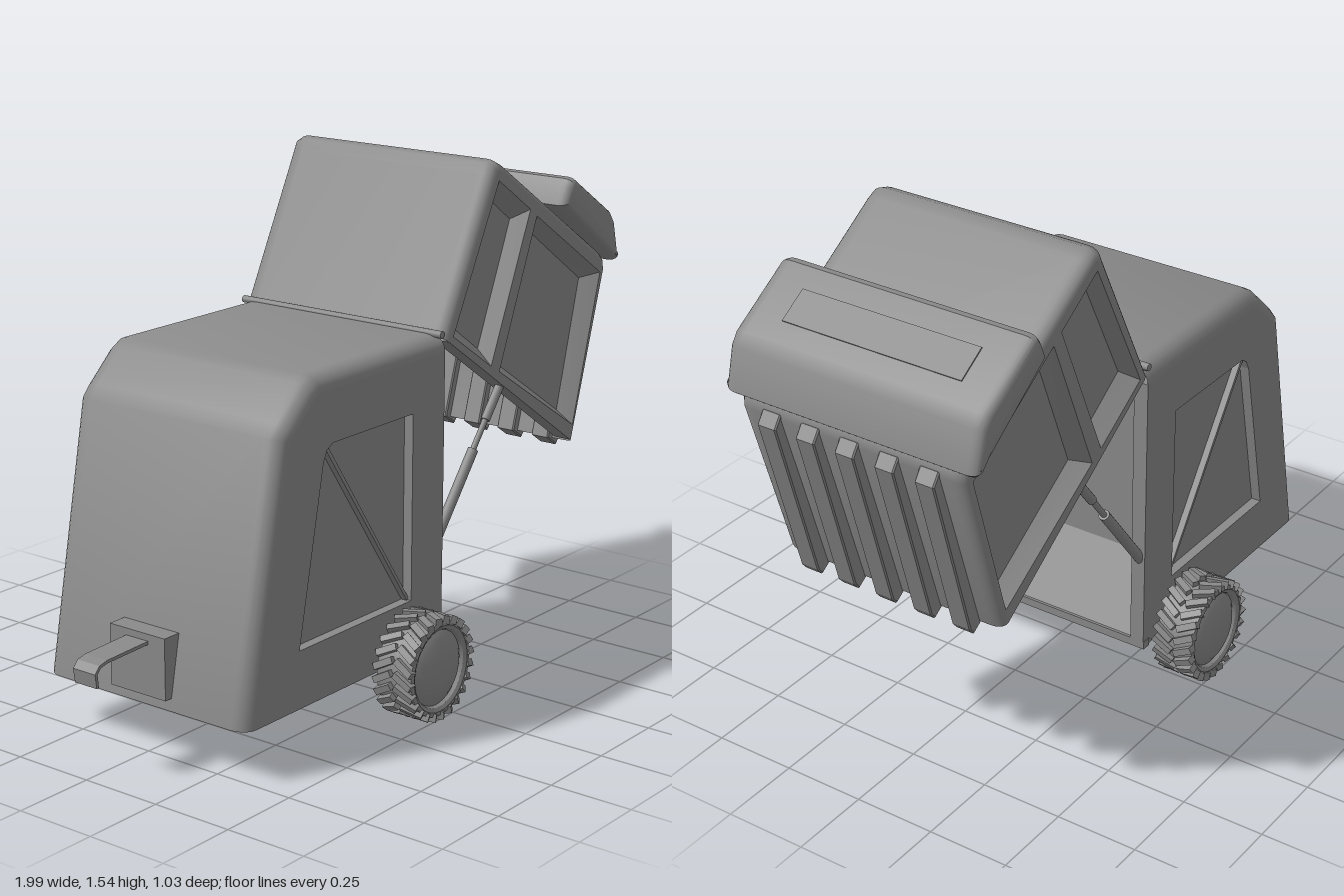
import * as THREE from 'three';
import { toCreasedNormals } from 'three/addons/utils/BufferGeometryUtils.js';

const mat = new THREE.MeshStandardMaterial({ color: 0x8a8a8a, side: THREE.DoubleSide });
const HW = 0.368; // half width of the body

function add(parent, name, geo, x = 0, y = 0, z = 0) {
  const m = new THREE.Mesh(geo, mat);
  m.name = name;
  m.position.set(x, y, z);
  parent.add(m);
  return m;
}

const pts = (a) => a.map(([x, y]) => new THREE.Vector2(x, y));

// Flat plate in the xy plane, with optional holes, from z to z + depth
function plate(parent, name, outline, holes, z, depth) {
  const s = new THREE.Shape(pts(outline));
  holes.forEach((h) => s.holes.push(new THREE.Path(pts(h))));
  return add(parent, name, new THREE.ExtrudeGeometry(s, { depth, bevelEnabled: false }), 0, 0, z);
}

// Surface through a list of rows with equal numbers of points
function loft(rows, crease) {
  const idx = [], n = rows[0].length;
  for (let i = 0; i < rows.length - 1; i++) {
    for (let j = 0; j < n - 1; j++) {
      const a = i * n + j, b = a + n;
      idx.push(a, b, a + 1, b, b + 1, a + 1);
    }
  }
  const g = new THREE.BufferGeometry();
  g.setAttribute('position', new THREE.Float32BufferAttribute(rows.flat(2), 3));
  g.setIndex(idx);
  return toCreasedNormals(g, crease);
}

// Sheet that runs along a side profile and rounds over to the side walls
function skin(outer, inner, r) {
  const half = [];
  for (let i = 0; i <= 5; i++) {
    const a = (i / 5) * Math.PI / 2;
    half.push([1 - Math.sin(a), HW - r * (1 - Math.cos(a))]);
  }
  const full = [...half, ...half.map(([t, z]) => [t, -z]).reverse()];
  return loft(outer.map(([x, y], i) => full.map(([t, z]) =>
    [x + (inner[i][0] - x) * t, y + (inner[i][1] - y) * t, z])), 0.85);
}

// Both side walls with recessed panels
function sideWalls(parent, name, outline, holes, depth, backing) {
  for (const s of [1, -1]) {
    plate(parent, name, outline, holes, s > 0 ? HW - depth : -HW, depth);
    plate(parent, name + 'Recess', outline, [], s > 0 ? HW - depth - backing : -HW + depth, backing);
  }
}

// Sloping rim from the edge of a side opening down to its sunken panel
function slopedRims(parent, name, hole, depth, width) {
  const cx = hole.reduce((t, p) => t + p[0], 0) / hole.length;
  const cy = hole.reduce((t, p) => t + p[1], 0) / hole.length;
  const loop = [...hole, hole[0]];
  for (const s of [1, -1]) {
    const outer = loop.map(([x, y]) => [x, y, s * HW]);
    const inner = loop.map(([x, y]) => {
      const k = 1 - width / Math.hypot(x - cx, y - cy);
      return [cx + (x - cx) * k, cy + (y - cy) * k, s * (HW - depth)];
    });
    add(parent, name, loft([outer, inner], 0.3));
  }
}

// Rod between two points
function rod(parent, name, a, b, r) {
  const d = b.clone().sub(a);
  const m = add(parent, name, new THREE.CylinderGeometry(r, r, d.length(), 16));
  m.position.copy(a).addScaledVector(d, 0.5);
  m.quaternion.setFromUnitVectors(new THREE.Vector3(0, 1, 0), d.normalize());
}

function makeBody() {
  const g = new THREE.Group();
  g.name = 'body';
  const outer = [[-0.77, 0.15], [-0.62, 0.93], [-0.59, 0.965], [-0.495, 1.055], [-0.46, 1.075], [0.12, 1.075]];
  const inner = [[-0.725, 0.15], [-0.578, 0.915], [-0.56, 0.935], [-0.475, 1.01], [-0.445, 1.025], [0.12, 1.025]];
  add(g, 'bodyShell', skin(outer, inner, 0.055));
  // Side walls with a recess crossed by a thin diagonal brace
  const hole = [[-0.54, 0.32], [-0.435, 0.83], [-0.42, 0.86], [-0.395, 0.875], [-0.03, 0.875], [-0.03, 0.32]];
  sideWalls(g, 'bodySide', [...inner, [0.12, 0.15]], [hole], 0.03, 0.015);
  const brace = [[-0.417, 0.863], [-0.407, 0.869], [-0.03, 0.327], [-0.037, 0.32]];
  for (const s of [1, -1]) plate(g, 'sideBrace', brace, [], s > 0 ? HW - 0.03 : -HW + 0.01, 0.02);
  // Floor, sill, ramp and bulkhead inside
  add(g, 'floor', new THREE.BoxGeometry(0.87, 0.02, 0.7), -0.315, 0.16, 0);
  add(g, 'sill', new THREE.BoxGeometry(0.03, 0.025, 0.74), 0.105, 0.157, 0);
  plate(g, 'innerRamp', [[0.115, 0.165], [-0.025, 0.37], [-0.025, 1.03], [-0.045, 1.03], [-0.045, 0.165]], [], -0.325, 0.65);
  // Hinge at the top of the opening
  add(g, 'hingeBar', new THREE.CylinderGeometry(0.011, 0.011, 0.73, 12).rotateX(Math.PI / 2), 0.11, 1.075, 0);
  return g;
}

function makeTailgate() {
  const g = new THREE.Group();
  g.name = 'tailgate';
  const outer = [[0.115, 1.065], [0.335, 1.5], [0.35, 1.53], [0.375, 1.537], [0.41, 1.52],
    [0.94, 1.18], [0.965, 1.155], [0.967, 1.12], [0.81, 0.6]];
  const inner = [[0.137, 1.05], [0.355, 1.48], [0.365, 1.502], [0.38, 1.508], [0.4, 1.498],
    [0.925, 1.16], [0.943, 1.14], [0.945, 1.115], [0.79, 0.612]];
  add(g, 'tailgateShell', skin(outer, inner, 0.045));
  // Deep side panels either side of a post
  const holes = [
    [[0.16, 1.06], [0.375, 1.478], [0.54, 1.37], [0.352, 0.935]],
    [[0.575, 1.345], [0.932, 1.115], [0.8, 0.658], [0.395, 0.91]],
  ];
  sideWalls(g, 'tailgateSide', inner, holes, 0.05, 0.006);
  holes.forEach((h) => slopedRims(g, 'sidePanelRim', h, 0.05, 0.045));
  // Vertical ribs on the rear face
  const rib = new THREE.Shape(pts([[0.945, 1.13], [0.968, 1.135], [0.993, 1.1], [0.852, 0.592], [0.835, 0.572], [0.785, 0.605]]));
  for (let i = -2; i <= 2; i++) {
    const geo = new THREE.ExtrudeGeometry(rib, {
      depth: 0.054, bevelThickness: 0.004, bevelSize: 0.004, bevelOffset: -0.004, bevelSegments: 1 });
    add(g, 'rearRib', geo, 0, 0, i * 0.129 - 0.027);
  }
  // Rounded hood with an inset plate
  const hood = new THREE.Shape(pts([[0.66, 1.365], [0.683, 1.42], [0.698, 1.44], [0.72, 1.442], [0.92, 1.315],
    [0.945, 1.28], [0.975, 1.16], [0.962, 1.15]]));
  const hoodGeo = new THREE.ExtrudeGeometry(hood, {
    depth: 0.756, bevelThickness: 0.035, bevelSize: 0.02, bevelOffset: -0.02, bevelSegments: 4 });
  add(g, 'hood', toCreasedNormals(hoodGeo, 0.6), 0, 0, -0.378);
  add(g, 'hoodPlate', new THREE.BoxGeometry(0.105, 0.008, 0.58), 0.822, 1.377, 0).rotation.z = -0.566;
  return g;
}

function makeWheel() {
  const g = new THREE.Group();
  g.name = 'wheel';
  // Tyre and domed hub in one turned profile
  const half = [[0, 0.07], [0.05, 0.068], [0.09, 0.06], [0.112, 0.046], [0.117, 0.056], [0.128, 0.062], [0.141, 0.06]];
  const profile = pts([...half, ...half.map(([r, h]) => [r, -h]).reverse()]);
  const tyre = new THREE.LatheGeometry(profile, 40).rotateX(Math.PI / 2);
  add(g, 'tyre', toCreasedNormals(tyre, 0.6));
  // Chevron tread in two rows
  const n = 24;
  for (const s of [1, -1]) {
    for (let i = 0; i < n; i++) {
      const lug = new THREE.BoxGeometry(0.024, 0.02, 0.066);
      lug.rotateX(-s * 0.5);
      lug.translate(0.143, 0, s * 0.035);
      lug.rotateZ((i / n) * Math.PI * 2);
      add(g, 'treadLug', lug);
    }
  }
  return g;
}

function makeHitch() {
  const g = new THREE.Group();
  g.name = 'hitch';
  add(g, 'hitchBracket', new THREE.BoxGeometry(0.07, 0.18, 0.2), -0.753, 0.275, 0);
  // Thin tongue bent down at the tip
  const top = [[-0.78, 0.345], [-0.95, 0.339], [-0.98, 0.332], [-0.998, 0.312], [-0.992, 0.27]];
  const under = [[-0.984, 0.272], [-0.988, 0.31], [-0.975, 0.324], [-0.95, 0.33], [-0.78, 0.335]];
  plate(g, 'hitchTongue', [...top, ...under], [], -0.04, 0.08);
  return g;
}

export function createModel() {
  const model = new THREE.Group();
  model.name = 'balerTrailer';
  model.add(makeBody(), makeTailgate(), makeHitch());
  for (const s of [1, -1]) {
    const wheel = makeWheel();
    wheel.position.set(-0.07, 0.156, s * 0.443);
    model.add(wheel);
    add(model, 'axleStub', new THREE.CylinderGeometry(0.04, 0.04, 0.06, 20).rotateX(Math.PI / 2), -0.07, 0.19, s * 0.36);
    // Gas struts holding the tailgate open
    const at = (x, y) => new THREE.Vector3(x, y, s * 0.345);
    rod(model, 'strutCylinder', at(0.1, 0.435), at(0.3, 0.69), 0.016);
    rod(model, 'strutRod', at(0.3, 0.69), at(0.37, 0.78), 0.009);
    rod(model, 'strutEnd', at(0.36, 0.767), at(0.45, 0.88), 0.014);
  }
  return model;
}
